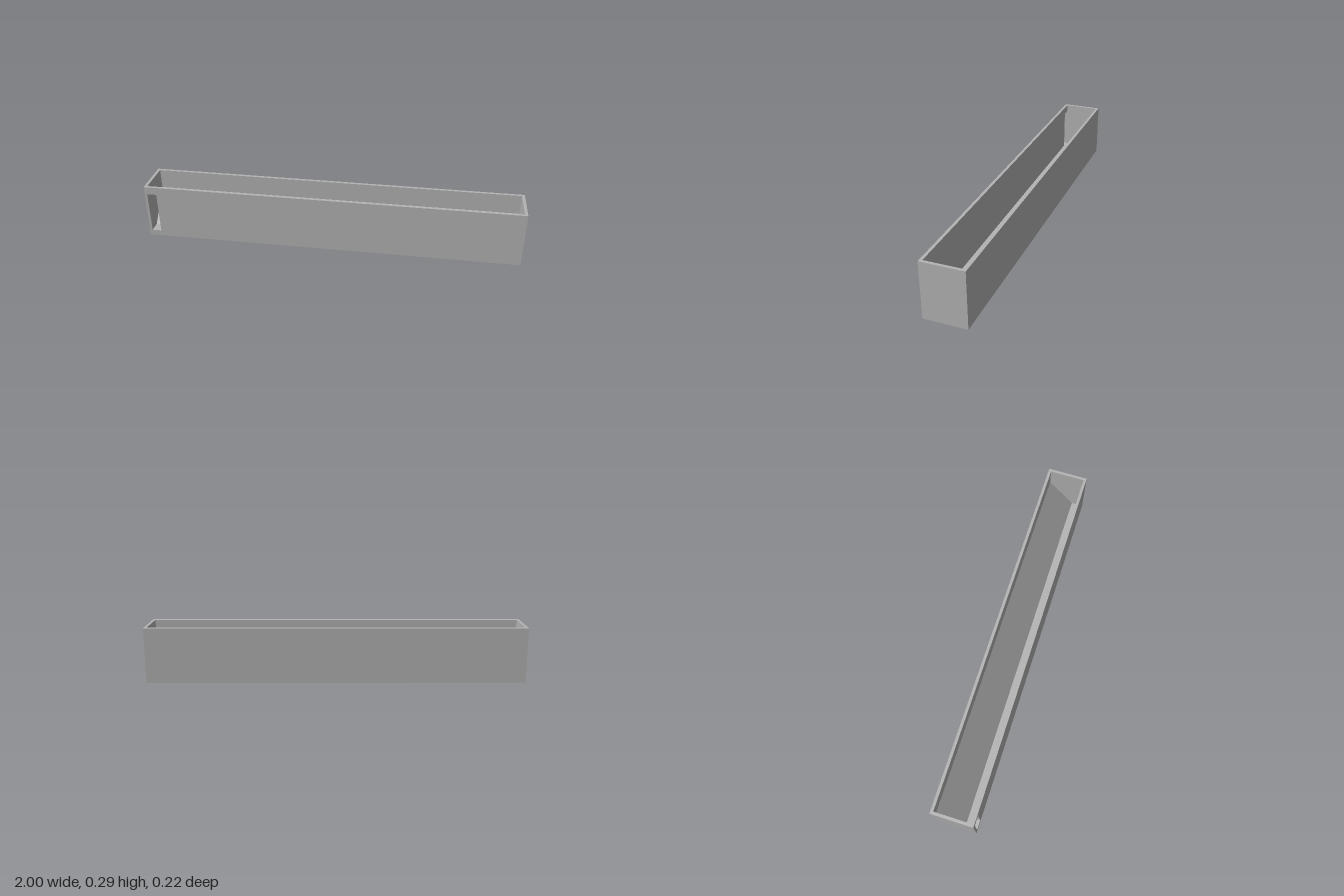
import * as THREE from 'three';

const W = 2, H = 0.295, D = 0.22; // outer size
const T = 0.015;                  // wall thickness
const FLOOR = 0.03;               // floor height, level with the slot sill

const shapeFrom = (points) => new THREE.Shape(points.map(([a, b]) => new THREE.Vector2(a, b)));

export function createModel() {
  const grey = new THREE.MeshStandardMaterial({ color: 0xb4b4b4 });
  grey.name = 'plain grey';
  const group = new THREE.Group();
  group.name = 'slottedTrough';

  const add = (name, geometry) => {
    const mesh = new THREE.Mesh(geometry, grey);
    mesh.name = name;
    group.add(mesh);
    return mesh;
  };
  const extrude = (shape, depth) => new THREE.ExtrudeGeometry(shape, { depth, bevelEnabled: false });

  // Front wall with an upright slot at its right end
  const front = shapeFrom([[-W / 2, 0], [W / 2, 0], [W / 2, H], [-W / 2, H]]);
  const slotLeft = -W / 2 + T, slotRight = slotLeft + 0.05, slotTop = 0.253;
  front.holes.push(new THREE.Path([
    new THREE.Vector2(slotLeft, FLOOR), new THREE.Vector2(slotLeft, slotTop),
    new THREE.Vector2(slotRight, slotTop), new THREE.Vector2(slotRight, FLOOR),
  ]));
  add('frontWall', extrude(front, T)).position.z = D / 2 - T;

  // Floor, inner ramp and back wall share one cross-section, as [-z, y]
  const profile = shapeFrom([
    [-D / 2 + T, 0], [D / 2, 0], [D / 2, H], [D / 2 - T, H],
    [D / 2 - T, 0.188], [-0.048, FLOOR], [-D / 2 + T, FLOOR],
  ]);
  const body = extrude(profile, W - 2 * T);
  body.rotateY(Math.PI / 2);
  add('floorRampAndBackWall', body).position.x = -W / 2 + T;

  // End walls behind the front wall
  for (const side of [-1, 1]) {
    const end = add(side < 0 ? 'rightEndWall' : 'leftEndWall', new THREE.BoxGeometry(T, H, D - T));
    end.position.set(side * (W - T) / 2, H / 2, -T / 2);
  }
  return group;
}
